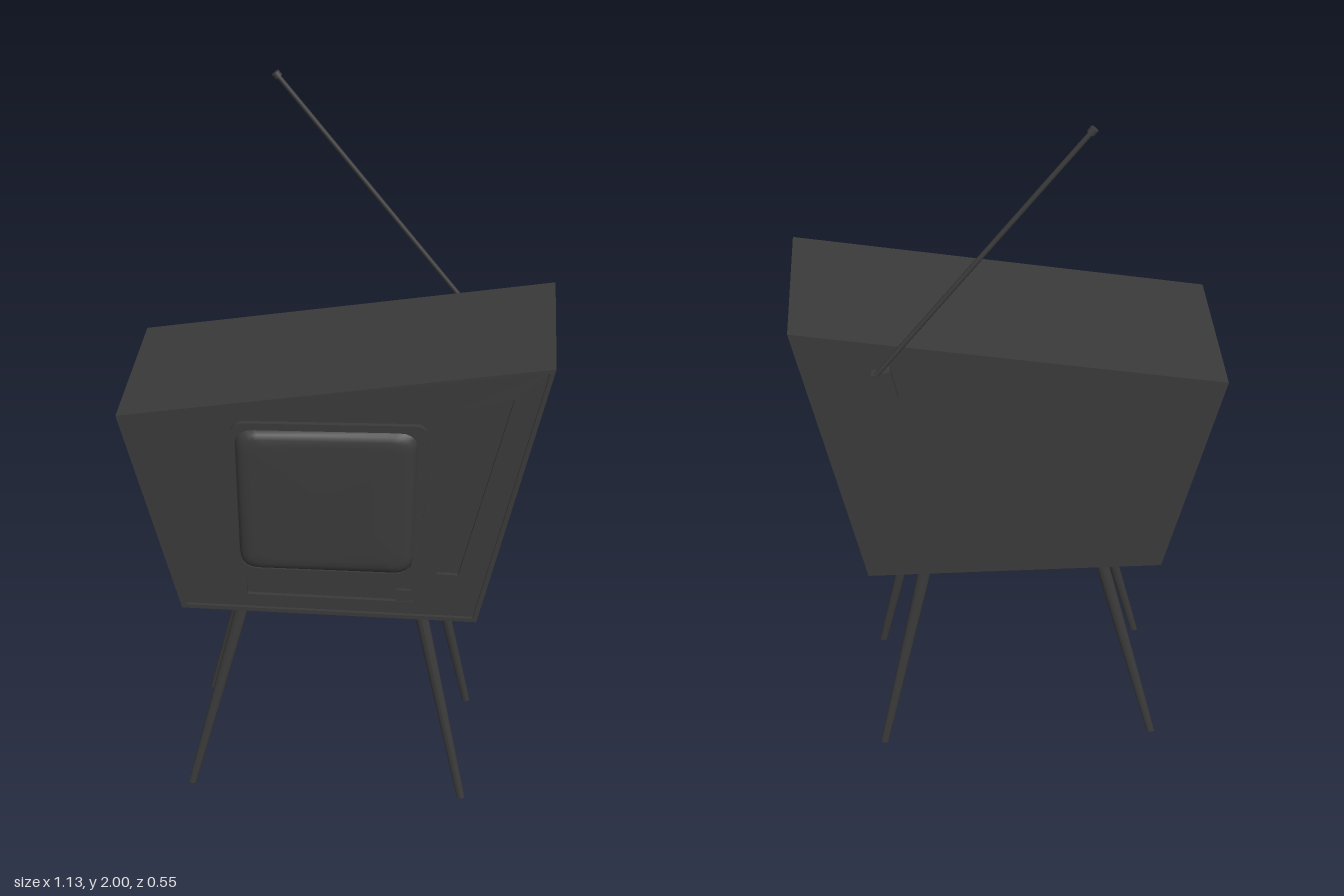
import * as THREE from 'three';

const dark = new THREE.MeshStandardMaterial({ color: 0x3a3a3a, side: THREE.DoubleSide });

function add(group, name, geometry) {
  const mesh = new THREE.Mesh(geometry, dark);
  mesh.name = name;
  group.add(mesh);
  return mesh;
}

// Scale a polygon about a centre point
const inset = (pts, sx, sy, cx, cy) => pts.map(([x, y]) => [cx + (x - cx) * sx, cy + (y - cy) * sy]);

// Points of a polygon with its corners rounded by radius r
function roundedPoints(pts, r, steps = 5) {
  const v = pts.map(([x, y]) => new THREE.Vector2(x, y));
  if (!r) return v;
  return v.flatMap((p, i) => {
    const toward = (q) => p.clone().add(q.clone().sub(p).setLength(r));
    const a = toward(v[(i + v.length - 1) % v.length]);
    const b = toward(v[(i + 1) % v.length]);
    return new THREE.QuadraticBezierCurve(a, p, b).getPoints(steps);
  });
}

// Flat plate between two depths, with optional holes
function plate(pts, z0, z1, holes = [], r = 0, holeR = 0) {
  const shape = new THREE.Shape(roundedPoints(pts, r));
  for (const h of holes) shape.holes.push(new THREE.Path(roundedPoints(h, holeR)));
  return new THREE.ExtrudeGeometry(shape, { depth: z1 - z0, bevelEnabled: false }).translate(0, 0, z0);
}

// Smooth pillow lofted from shrinking rounded outlines
function pillow(pts, r, cx, cy, layers) {
  const pos = [], index = [];
  const n = pts.length * 6;
  for (const [s, z] of layers)
    for (const p of roundedPoints(inset(pts, s, s, cx, cy), r * s)) pos.push(p.x, p.y, z);
  for (let l = 0; l < layers.length - 1; l++)
    for (let i = 0; i < n; i++) {
      const a = l * n + i, b = l * n + (i + 1) % n;
      index.push(a, b, b + n, a, b + n, a + n);
    }
  const top = pos.length / 3, last = (layers.length - 1) * n;
  pos.push(cx, cy, layers[layers.length - 1][1]);
  for (let i = 0; i < n; i++) index.push(last + i, last + (i + 1) % n, top);
  const g = new THREE.BufferGeometry();
  g.setAttribute('position', new THREE.Float32BufferAttribute(pos, 3));
  g.setIndex(index);
  g.computeVertexNormals();
  return g;
}

// Round bar between two points
function rod(a, b, radius, sides = 10) {
  const dir = b.clone().sub(a);
  const g = new THREE.CylinderGeometry(radius, radius, dir.length(), sides);
  g.applyQuaternion(new THREE.Quaternion().setFromUnitVectors(new THREE.Vector3(0, 1, 0), dir.normalize()));
  const m = a.clone().add(b).multiplyScalar(0.5);
  return g.translate(m.x, m.y, m.z);
}

export function createModel() {
  const model = new THREE.Group();
  model.name = 'television';

  // Slanted cabinet with a thin raised rim around the recessed front
  const outline = [[-0.415, 0.64], [0.39, 0.64], [0.563, 1.43], [-0.565, 1.24]];
  const inner = inset(outline, 0.973, 0.968, 0, 1.0);
  add(model, 'cabinet', plate(outline, -0.237, 0.235));
  add(model, 'frontRim', plate(outline, 0.235, 0.255, [inner]));

  // Front panel with shallow openings for the speaker and control strip
  const speaker = [[0.278, 0.785], [0.336, 0.785], [0.463, 1.333], [0.304, 1.286]];
  const strip = [[-0.235, 0.69], [0.214, 0.69], [0.214, 0.733], [-0.235, 0.733]];
  add(model, 'frontPanel', plate(inner, 0.235, 0.246, [speaker, strip]));
  add(model, 'controlKnob', new THREE.BoxGeometry(0.04, 0.036, 0.014)).position.set(0.191, 0.711, 0.241);

  // Screen surround and bulging glass
  const surround = [[-0.26, 0.762], [0.236, 0.77], [0.246, 1.25], [-0.267, 1.235]];
  const glass = [[-0.25, 0.785], [0.212, 0.79], [0.222, 1.228], [-0.256, 1.216]];
  add(model, 'screenSurround', plate(surround, 0.244, 0.259, [glass], 0.035, 0.05));
  add(model, 'screenGlass', pillow(glass, 0.05, -0.018, 1.005,
    [[1, 0.246], [0.99, 0.257], [0.95, 0.265], [0.89, 0.27], [0.8, 0.272], [0.5, 0.273]]));

  // Four splayed, tapering legs
  const legs = [
    ['frontRightLeg', -0.25, 0.18, -0.414, 0.232], ['frontLeftLeg', 0.23, 0.18, 0.367, 0.232],
    ['backRightLeg', -0.25, -0.185, -0.414, -0.22], ['backLeftLeg', 0.23, -0.185, 0.367, -0.22],
  ];
  for (const [name, tx, tz, bx, bz] of legs) {
    const g = new THREE.CylinderGeometry(0.019, 0.0115, 0.65, 12).translate(0, 0.325, 0);
    const p = g.attributes.position;
    for (let i = 0; i < p.count; i++) {
      const t = p.getY(i) / 0.64;
      p.setX(i, p.getX(i) + THREE.MathUtils.lerp(bx, tx, t));
      p.setZ(i, p.getZ(i) * 0.65 + THREE.MathUtils.lerp(bz, tz, t));
    }
    g.computeVertexNormals();
    add(model, name, g);
  }

  // Aerial on a small tilted bracket at the back
  const bracket = add(model, 'aerialBracket', new THREE.BoxGeometry(0.05, 0.088, 0.03));
  bracket.position.set(0.324, 1.277, -0.25);
  bracket.rotation.z = -0.21;
  const foot = new THREE.Vector3(0.345, 1.315, -0.262);
  const tip = new THREE.Vector3(-0.195, 1.993, -0.262);
  add(model, 'aerialRod', rod(foot, tip, 0.0065));
  add(model, 'aerialTip', rod(tip.clone().lerp(foot, 0.018), tip, 0.011));

  return model;
}
